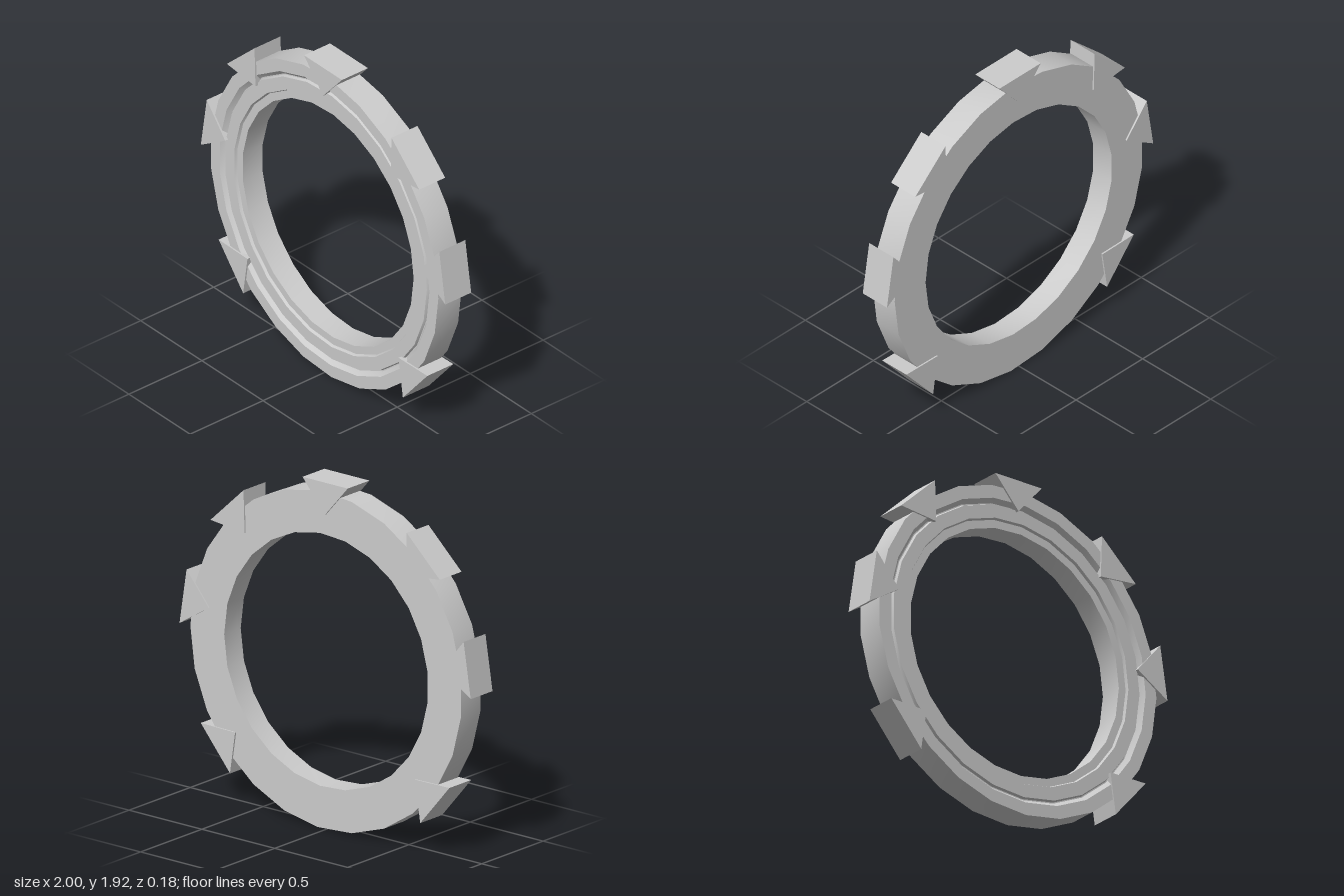
import * as THREE from 'three';
import { toCreasedNormals } from 'three/addons/utils/BufferGeometryUtils.js';

const CENTER_Y = 0.932;

export function createModel() {
  const group = new THREE.Group();
  const material = new THREE.MeshStandardMaterial({ color: 0xcccccc });

  // Ring: closed cross-section (radius, z), with a raised bead in a shallow recess at the front
  const profile = [
    [0.7, -0.08], [0.932, -0.08], [0.932, 0.08], [0.86, 0.08],
    [0.838, 0.055], [0.832, 0.055], [0.826, 0.07],
    [0.752, 0.07], [0.745, 0.055], [0.7, 0.055], [0.7, -0.08],
  ].map(([r, z]) => new THREE.Vector2(r, z));
  const ringGeometry = new THREE.LatheGeometry(profile, 25, Math.PI / 2);
  ringGeometry.rotateX(Math.PI / 2);
  const ring = new THREE.Mesh(toCreasedNormals(ringGeometry, 0.5), material);
  ring.name = 'ring';
  ring.position.y = CENTER_Y;
  group.add(ring);

  // Spikes: triangular prisms, point inward, wide face outward
  const triangle = new THREE.Shape([
    new THREE.Vector2(0.81, 0),
    new THREE.Vector2(0.987, -0.155),
    new THREE.Vector2(0.987, 0.155),
  ]);
  const spikeGeometry = new THREE.ExtrudeGeometry(triangle, { depth: 0.178, bevelEnabled: false });
  spikeGeometry.translate(0, 0, -0.089);
  const addSpike = (name, degrees) => {
    const spike = new THREE.Mesh(spikeGeometry, material);
    spike.name = name;
    spike.position.y = CENTER_Y;
    spike.rotation.z = THREE.MathUtils.degToRad(degrees);
    group.add(spike);
  };
  addSpike('topSpike', 90);
  for (const [name, degrees] of [['UpperSpike', 47], ['MiddleSpike', 9], ['LowerSpike', -40.3]]) {
    addSpike('left' + name, degrees);
    addSpike('right' + name, 180 - degrees);
  }
  return group;
}
